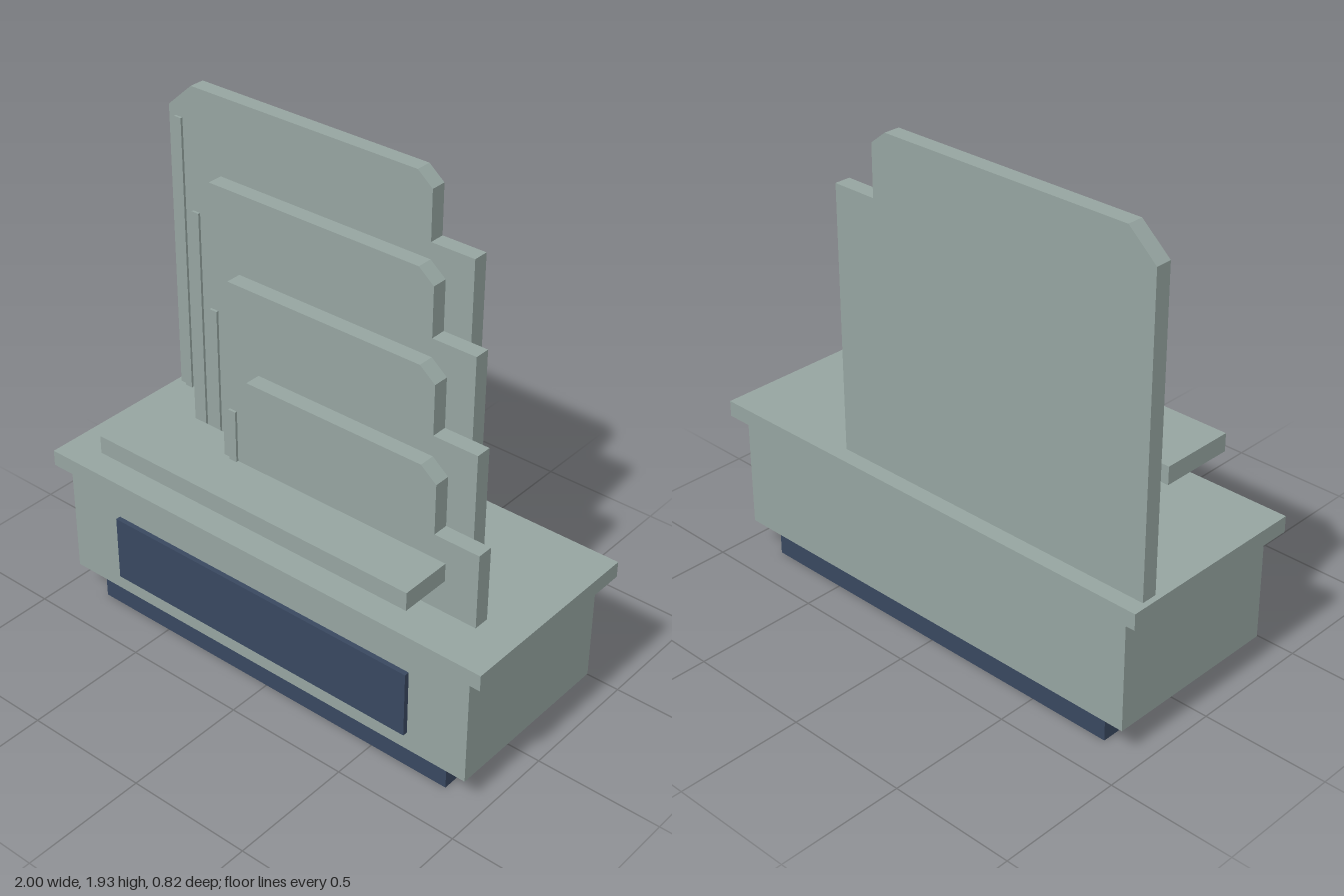
import * as THREE from 'three';

export function createModel() {
  const model = new THREE.Group();
  model.name = 'steppedPanelDisplay';

  const stone = new THREE.MeshStandardMaterial({ color: 0x96a5a1 });
  stone.name = 'grey green';
  const navy = new THREE.MeshStandardMaterial({ color: 0x394860 });
  navy.name = 'dark navy';

  // Adds a box given its extents along each axis
  function addBox(name, material, [x0, x1], [y0, y1], [z0, z1], parent = model) {
    const mesh = new THREE.Mesh(new THREE.BoxGeometry(x1 - x0, y1 - y0, z1 - z0), material);
    mesh.position.set((x0 + x1) / 2, (y0 + y1) / 2, (z0 + z1) / 2);
    mesh.name = name;
    parent.add(mesh);
  }

  // Plinth, body and overhanging top slab
  addBox('plinth', navy, [-0.832, 0.832], [0, 0.12], [-0.342, 0.32]);
  addBox('body', stone, [-0.938, 0.938], [0.12, 0.576], [-0.38, 0.358]);
  addBox('topSlab', stone, [-1, 1], [0.576, 0.64], [-0.411, 0.387]);
  addBox('frontPanel', navy, [-0.69, 0.686], [0.195, 0.464], [0.35, 0.378]);

  // Shelf crossing the front upright
  addBox('shelf', stone, [-0.71, 0.706], [0.77, 0.843], [0.098, 0.409]);

  // Four uprights, lower and further right towards the front
  const floor = 0.64, thickness = 0.063;
  for (let i = 0; i < 4; i++) {
    const left = -0.978 + 0.23 * i;
    const right = 0.236 + 0.14 * i;
    const top = 1.933 - 0.248 * i;
    const front = -0.284 + 0.162 * i;
    const step = top - 0.25;

    // Outline with chamfered corners and a step on the right
    const outline = new THREE.Shape([
      [left, floor], [right + 0.185, floor], [right + 0.185, step], [right, step],
      [right, top - 0.052], [right - 0.065, top], [left + 0.114, top], [left, top - 0.102],
    ].map(([x, y]) => new THREE.Vector2(x, y)));

    const upright = new THREE.Group();
    upright.name = `upright${i + 1}`;
    const board = new THREE.Mesh(
      new THREE.ExtrudeGeometry(outline, { depth: thickness, bevelEnabled: false }), stone);
    board.name = 'board';
    board.position.z = front - thickness;
    upright.add(board);

    // Slim raised strip near the left edge
    addBox('edgeStrip', stone, [left + 0.033, left + 0.066], [floor, top - 0.137],
      [front - 0.01, front + 0.01], upright);
    model.add(upright);
  }

  return model;
}
